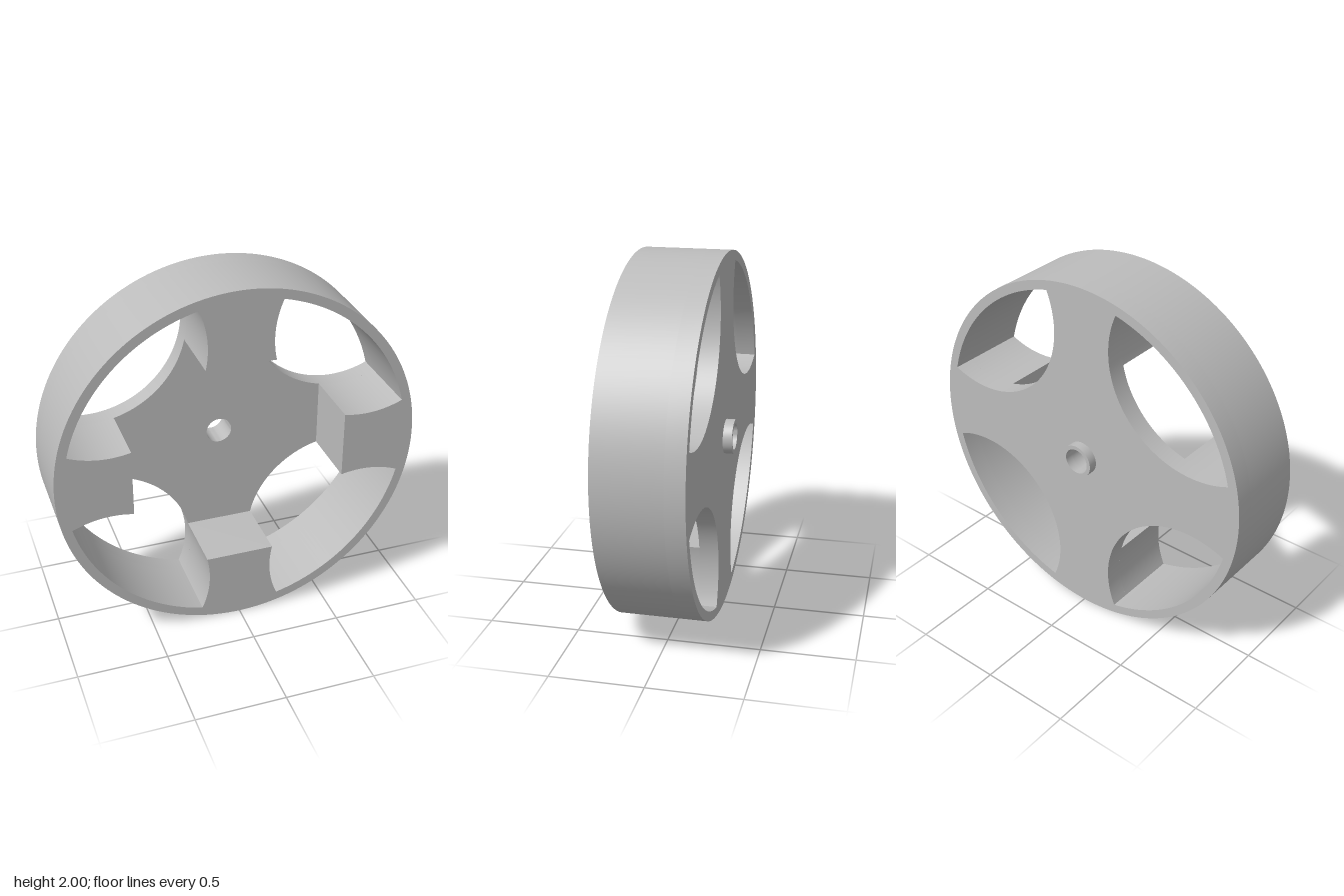
import * as THREE from 'three';
import { toCreasedNormals } from 'three/addons/utils/BufferGeometryUtils.js';

const OUTER = 1, INNER = 0.948;          // rim radii
const C = 0.707, LOBE = 0.53;            // centre offset and radius of the window lobes
const BLOCK = 0.59;                      // distance from axle to the raised spoke blocks
const BORE = 0.072, BOSS = 0.094;
const BACK = -0.21, WEB = -0.105, FRONT = 0.26, BOSS_END = -0.26;

// Points along an arc, both ends included
function arc(cx, cy, r, a0, a1, n) {
  return Array.from({ length: n + 1 }, (_, i) => {
    const a = a0 + (a1 - a0) * i / n;
    return new THREE.Vector2(cx + r * Math.cos(a), cy + r * Math.sin(a));
  });
}
const circle = (r, n) => arc(0, 0, r, 0, Math.PI * 2, n).slice(0, -1);
const turn = (points, k) => points.map(p => p.clone().rotateAround(new THREE.Vector2(), k * Math.PI / 2));

function extrude(outline, holes, z0, z1) {
  const shape = new THREE.Shape(outline);
  shape.holes = holes.map(h => new THREE.Path(h));
  const geo = new THREE.ExtrudeGeometry(shape, { depth: z1 - z0, bevelEnabled: false });
  geo.translate(0, 0, z0);
  return toCreasedNormals(geo, 0.4);
}

export function createModel() {
  const group = new THREE.Group();
  group.name = 'wheel';
  const grey = new THREE.MeshStandardMaterial({ color: 0xbcbcbc });
  grey.name = 'grey';
  const add = (name, geo) => {
    const mesh = new THREE.Mesh(geo, grey);
    mesh.name = name;
    mesh.position.y = 1;
    group.add(mesh);
  };

  // Where the lobe circle meets the inside of the rim
  const d = C * Math.SQRT2;
  const half = Math.acos((INNER ** 2 + d ** 2 - LOBE ** 2) / (2 * INNER * d));
  const low = Math.PI / 4 - half, high = Math.PI / 4 + half;
  const b1 = Math.atan2(INNER * Math.sin(low) - C, INNER * Math.cos(low) - C);
  const b2 = Math.PI / 2 - b1;
  const rimArc = arc(0, 0, INNER, low, high, 40);

  // Back web: disc with four windows and the axle bore
  const window0 = [...rimArc, ...arc(C, C, LOBE, b2, b1 + Math.PI * 2, 48).slice(1, -1)];
  const windows = [0, 1, 2, 3].map(k => turn(window0, k));
  add('web', extrude(circle(OUTER, 160), [...windows, circle(BORE, 48)], BACK, WEB));

  // Front rim with four raised spoke blocks around an open middle
  const s = Math.atan2(-Math.sqrt(LOBE ** 2 - (C - BLOCK) ** 2), BLOCK - C);
  const quarter = [
    ...arc(C, C, LOBE, s, b1, 16).slice(0, -1),
    ...rimArc,
    ...arc(C, C, LOBE, b2, Math.PI / 2 - s, 16).slice(1),
  ];
  const opening = [0, 1, 2, 3].flatMap(k => turn(quarter, k));
  add('rimAndSpokeBlocks', extrude(circle(OUTER, 160), [opening], WEB, FRONT));

  // Axle boss on the back
  add('axleBoss', extrude(circle(BOSS, 48), [circle(BORE, 48)], BOSS_END, BACK));
  return group;
}
